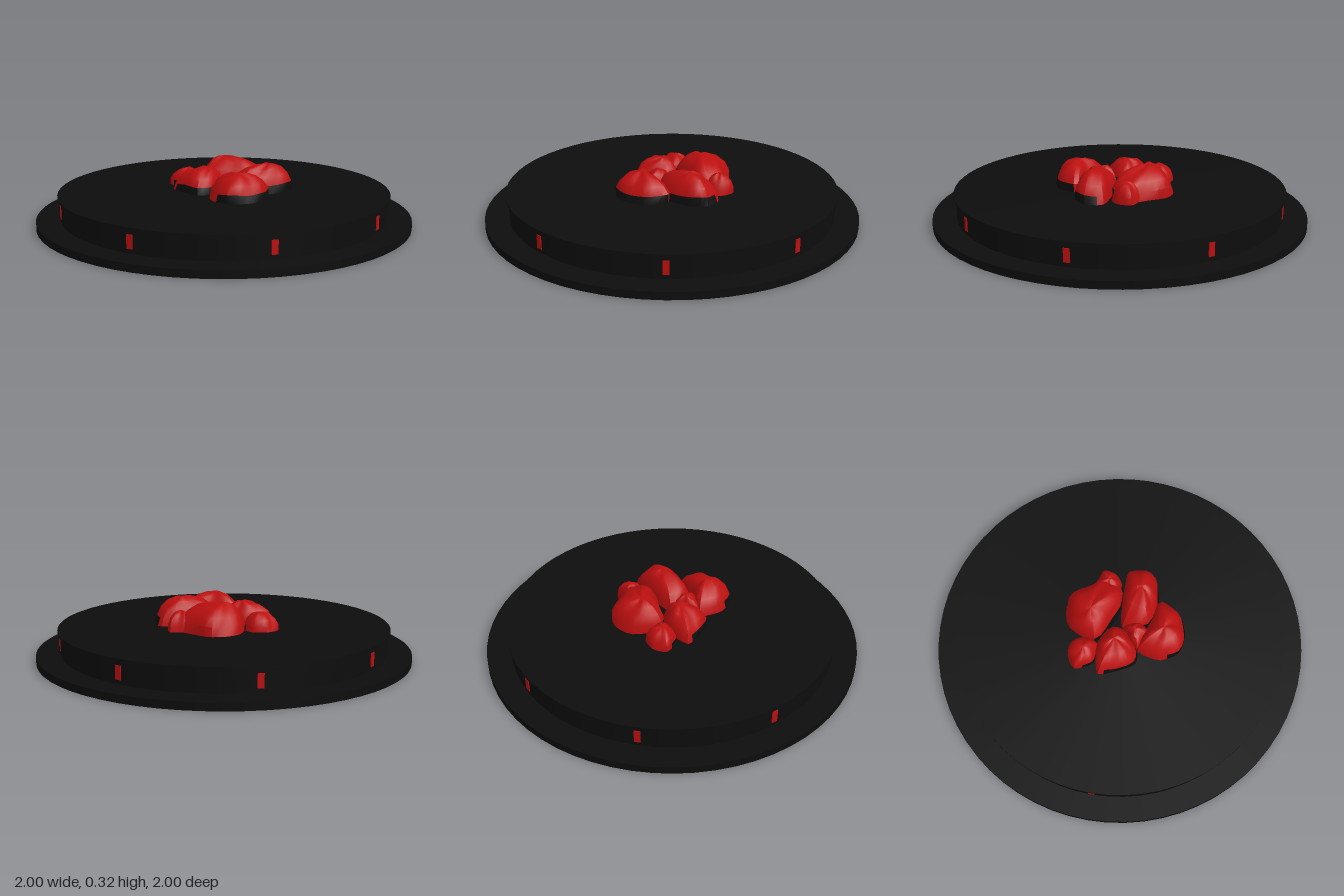
import * as THREE from 'three';
import { toCreasedNormals } from 'three/addons/utils/BufferGeometryUtils.js';

const black = new THREE.MeshStandardMaterial({ color: 0x0d0d0d });
black.name = 'charcoal black';
const red = new THREE.MeshStandardMaterial({ color: 0xba0f0f });
red.name = 'ember red';

const FLOOR = 0.166;

// Rock grown from a footprint [x, z] up to a peak [x, y, z]; its front and +x skirt may be black.
function rock(name, outline, peak, darkSkirt, seed) {
  const N = 26;
  const curve = new THREE.CatmullRomCurve3(
    outline.map(([x, z]) => new THREE.Vector3(x, 0, z)), true, 'catmullrom', 0.35);
  const foot = curve.getSpacedPoints(N).slice(0, N);
  const [px, py, pz] = peak;
  const h = py - FLOOR;
  const centre = foot.reduce((s, p) => s.add(p), new THREE.Vector3()).divideScalar(N);
  // [height fraction, footprint scale, drift towards the peak]
  const rings = [[0, 1, 0], [0.32, 0.96, 0], [0.62, 0.8, 0.1], [0.85, 0.55, 0.35], [0.97, 0.24, 0.8]];
  const pos = [];
  rings.forEach(([f, s, drift], r) => {
    const cx = centre.x + (px - centre.x) * drift;
    const cz = centre.z + (pz - centre.z) * drift;
    foot.forEach((p, i) => {
      const a = (i / N) * Math.PI * 2;
      const bump = r ? Math.sin(a * 3 + seed) * 0.05 + Math.sin(a * 5 + seed * 2.3 + r) * 0.03 : 0;
      const k = Math.min(s * (1 + bump), 1);
      const y = FLOOR + h * f * (1 + (r > 1 ? bump * 0.6 : bump * 1.5));
      pos.push(cx + (p.x - centre.x) * k, Math.min(y, py), cz + (p.z - centre.z) * k);
    });
  });
  pos.push(px, py, pz);

  const dark = [], bright = [];
  for (let i = 0; i < N; i++) {
    const j = (i + 1) % N;
    // outward direction of this footprint edge
    const nx = foot[j].z - foot[i].z, nz = foot[i].x - foot[j].x;
    for (let r = 0; r < rings.length - 1; r++) {
      const a = r * N + i, b = r * N + j, c = a + N, d = b + N;
      const list = darkSkirt && r === 0 && nx + nz > 0 ? dark : bright;
      list.push(a, c, b, b, c, d);
    }
    const t = (rings.length - 1) * N;
    bright.push(t + i, rings.length * N, t + j);
  }
  const g = new THREE.BufferGeometry();
  g.setAttribute('position', new THREE.Float32BufferAttribute(pos, 3));
  g.setIndex([...dark, ...bright]);
  const geo = toCreasedNormals(g, 0.55);
  geo.clearGroups();
  geo.addGroup(0, dark.length, 0);
  geo.addGroup(dark.length, bright.length, 1);
  const mesh = new THREE.Mesh(geo, [black, red]);
  mesh.name = name;
  return mesh;
}

function disc(name, radius, y0, y1) {
  const mesh = new THREE.Mesh(new THREE.CylinderGeometry(radius, radius, y1 - y0, 64), black);
  mesh.position.y = (y0 + y1) / 2;
  mesh.name = name;
  return mesh;
}

export function createModel() {
  const model = new THREE.Group();
  model.name = 'emberPlatform';

  // Stepped round platform
  model.add(
    disc('baseDisc', 1, 0, 0.04),
    disc('drum', 0.872, 0.04, 0.157),
    disc('topLip', 0.885, 0.155, 0.168));

  // Eight small lights around the drum
  const lights = new THREE.Group();
  lights.name = 'rimLights';
  for (let i = 0; i < 8; i++) {
    const a = (i + 0.5) * Math.PI / 4;
    const light = new THREE.Mesh(new THREE.BoxGeometry(0.032, 0.07, 0.009), red);
    light.position.set(Math.sin(a) * 0.871, 0.097, Math.cos(a) * 0.871);
    light.rotation.y = a;
    light.name = 'rimLight';
    lights.add(light);
  }
  model.add(lights);

  // Heap of glowing rocks
  const heap = new THREE.Group();
  heap.name = 'rockHeap';
  heap.add(
    rock('backRock', [[-0.13, -0.08], [-0.13, -0.24], [-0.06, -0.31], [0.02, -0.325], [0.11, -0.28],
      [0.22, -0.22], [0.2, -0.11], [0.1, -0.06], [0, -0.05]], [-0.02, 0.318, -0.17], true, 1),
    rock('backSpur', [[0.13, -0.24], [0.23, -0.26], [0.26, -0.19], [0.23, -0.13], [0.14, -0.13]],
      [0.19, 0.27, -0.19], false, 2),
    rock('smallLeftRock', [[-0.31, -0.09], [-0.27, -0.16], [-0.19, -0.18], [-0.13, -0.13],
      [-0.14, -0.05], [-0.23, -0.02]], [-0.21, 0.262, -0.1], true, 3),
    rock('rightRock', [[0.02, 0], [0.16, -0.08], [0.31, -0.14], [0.365, -0.07], [0.34, 0.02],
      [0.24, 0.1], [0.1, 0.12]], [0.23, 0.314, -0.01], true, 4),
    rock('leftRock', [[-0.27, 0.03], [-0.16, -0.05], [-0.02, -0.06], [0, 0.03], [-0.05, 0.14],
      [-0.12, 0.17], [-0.21, 0.1]], [-0.09, 0.295, 0.02], true, 5),
    rock('middleRock', [[-0.05, 0.14], [0.01, 0.01], [0.09, 0.08], [0.06, 0.15]],
      [0.02, 0.272, 0.08], true, 6),
    rock('frontRock', [[-0.05, 0.14], [0.08, 0.12], [0.24, 0.1], [0.245, 0.22], [0.17, 0.31],
      [0.06, 0.335], [-0.03, 0.27]], [0.1, 0.304, 0.21], true, 7));
  model.add(heap);

  return model;
}
